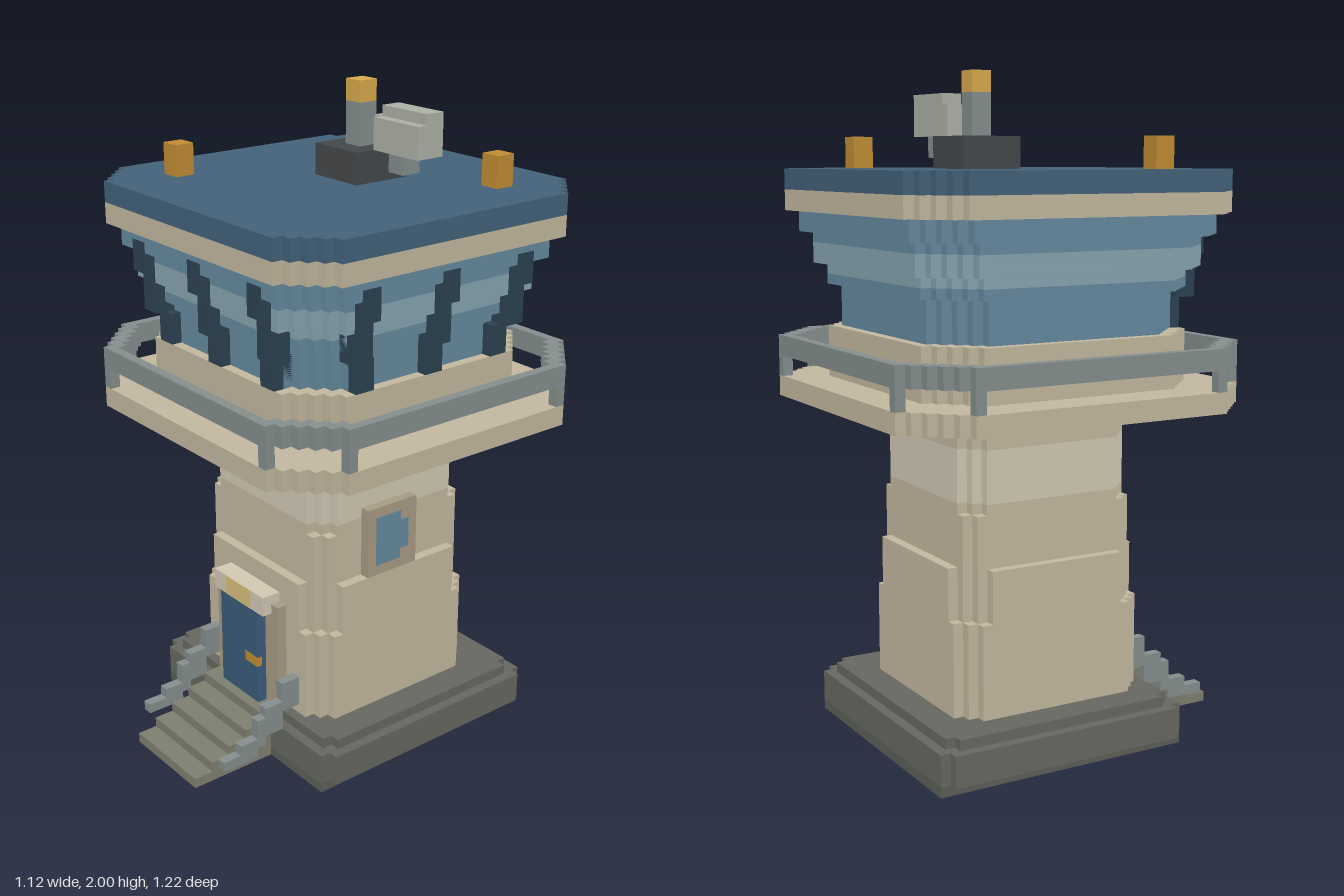
import * as THREE from 'three';

const U = 1 / 32;   // one block
const CZ = -1.5;    // tower axis in z, in blocks

const mats = {};
const paint = (color) => (mats[color] ??= new THREE.MeshStandardMaterial({ color, flatShading: true }));
const C = {
  beige: 0xc4b9a0, pale: 0xd3c9b4, frame: 0xa89c84, blue: 0x43627a, door: 0x3a5c7a,
  glass: 0x668ba0, glassLight: 0x87a5b0, mullion: 0x2d4252, rail: 0x858e8e, stone: 0x666860,
  stair: 0x7f7f70, dark: 0x45484b, amber: 0xc28d33, yellow: 0xd9ab4c, lamp: 0xdac07a, dish: 0xaeb2a6,
};

// Outline of a rectangle whose corners are cut in c one-block steps
function outline(hx, hz, c) {
  const q = [[hx, hz - c]];
  for (let i = 1; i <= c; i++) q.push([hx - i, hz - c + i - 1], [hx - i, hz - c + i]);
  const mirror = (sx, sz) => q.map(([x, z]) => new THREE.Vector2(x * sx, z * sz));
  return [...mirror(1, 1), ...mirror(-1, 1).reverse(), ...mirror(-1, -1), ...mirror(1, -1).reverse()];
}

export function createModel() {
  const root = new THREE.Group();
  root.name = 'controlTower';
  const model = new THREE.Group();
  model.name = 'blocks';
  model.scale.setScalar(U);
  root.add(model);

  const add = (name, geometry, color) => {
    const mesh = new THREE.Mesh(geometry, paint(color));
    mesh.name = name;
    model.add(mesh);
    return mesh;
  };
  // Box from its limits, in blocks
  const box = (name, color, x0, x1, y0, y1, z0, z1) => {
    const g = new THREE.BoxGeometry(x1 - x0, y1 - y0, z1 - z0);
    add(name, g, color).position.set((x0 + x1) / 2, (y0 + y1) / 2, (z0 + z1) / 2);
  };
  // Storey with stepped corners; an inner outline makes it a ring
  const layer = (name, color, hx, hz, c, y0, y1, z = CZ, inner = null) => {
    const shape = new THREE.Shape(outline(hx, hz, c));
    if (inner) shape.holes.push(new THREE.Path(outline(...inner)));
    const g = new THREE.ExtrudeGeometry(shape, { depth: y1 - y0, bevelEnabled: false });
    g.rotateX(-Math.PI / 2);
    add(name, g, color).position.set(0, y0, z);
  };

  // Plinth
  layer('plinthFoot', 0x5d5f58, 13, 13, 0, 0, 1, -2.5);
  layer('plinth', C.stone, 14, 13, 1, 1, 4, -2.5);
  layer('plinthTop', C.stone, 13, 12, 1, 4, 5, -2.5);

  // Shaft
  layer('lowerShaft', C.beige, 10, 10, 2, 5, 14);
  layer('lowerShaftTop', C.beige, 10, 10, 3, 14, 19);
  layer('middleShaft', C.beige, 9, 9, 1, 19, 24);
  layer('upperShaft', C.beige, 9, 9, 2, 24, 25);
  layer('shaftBand', C.pale, 9, 9, 2, 25, 30);
  layer('shaftNeck', C.beige, 9, 9, 2, 30, 33);

  // Stairs
  for (let i = 0; i < 5; i++) box('stairStep', C.stair, -5, 5, i, i + 1, 8.5, 19.5 - 2 * i);

  // Stair handrails, stepping up towards the wall: z0, z1, bottom, top
  const steps = [[15.5, 17.5, 2, 3], [13.5, 15.5, 2, 4], [12.5, 13.5, 3, 6], [10.5, 12.5, 4, 7], [8.5, 10.5, 6, 9]];
  for (const s of [-6.5, 6.5])
    for (const [z0, z1, y0, y1] of steps) box('handrail', C.rail, s - 0.5, s + 0.5, y0, y1, z0, z1);

  // Doorway
  box('doorFrame', C.frame, -5, 5, 5, 16, 8, 9.5);
  box('door', C.door, -3, 3, 5, 15, 9, 10.5);
  box('doorHandle', C.amber, 1, 3, 9, 10, 10, 10.55);
  box('lintel', C.pale, -4, 4, 15, 17, 8, 10.5);
  box('doorLamp', C.lamp, -2, 2, 15.02, 16.98, 10, 10.55);

  // Side window
  box('windowFrame', C.frame, 8.5, 10, 19, 26, -3.5, 2.5);
  box('windowPane', C.glass, 9.5, 10.05, 20, 25, -1.5, 1.5);
  box('windowPaneEdge', C.glass, 9.5, 10.05, 21, 24, -2.5, -1.5);

  // Balcony with railing
  layer('balconyFloor', C.beige, 18, 18, 5, 33, 35);
  layer('balconyRail', C.rail, 18, 18, 5, 37, 39, CZ, [17, 17, 5]);
  for (const a of [-1, 1])
    for (const b of [-1, 1])
      for (const [x, z] of [[12.5, 17.5], [17.5, 12.5]])
        box('railPost', C.rail, a * x - 0.5, a * x + 0.5, 35, 37, CZ + b * z - 0.5, CZ + b * z + 0.5);

  // Cabin wall and outward-leaning glazing: half width, bottom, top
  layer('cabinWall', C.beige, 14, 14, 4, 35, 40);
  const panes = [[13, 40, 44, C.glass], [14, 44, 45, C.glass], [14, 45, 46, C.glassLight],
    [15, 46, 48, C.glassLight], [15, 48, 49, C.glass], [16, 49, 51, C.glass]];
  for (const [r, y0, y1, color] of panes) layer('cabinGlass', color, r, r, 4, y0, y1);

  // Mullions on the front and left sides
  for (const [r, y0, y1, off] of [[14, 40, 43, 8], [15, 43, 47, 9], [16, 47, 50, 9]]) {
    for (const m of [-off, 0, off]) {
      box('frontMullion', C.mullion, m - 1, m + 1, y0, y1, CZ + r - 2, CZ + r + 0.04);
      box('sideMullion', C.mullion, r - 2, r + 0.04, y0, y1, CZ + m - 1, CZ + m + 1);
    }
  }

  // Roof
  layer('roofTrim', C.beige, 17, 17, 4, 51, 53);
  layer('roof', C.blue, 17, 17, 4, 53, 55);
  box('roofLight', C.amber, -12, -10, 55, 58, 7.5, 9.5);
  box('roofLight', C.amber, 10, 12, 55, 58, -12.5, -10.5);

  // Mast and radar
  box('mastBase', C.dark, -3, 3, 55, 58, -7.5, -1.5);
  box('mast', C.rail, -1, 1, 58, 62, -5.5, -3.5);
  box('beacon', C.yellow, -1, 1, 62, 64, -5.5, -3.5);
  box('radarSupport', C.rail, 4, 6, 56, 58, -6.5, -4.5);
  box('radarPanel', C.dish, 3, 9, 58, 62, -6.5, -4.5);
  box('radarFace', C.dish, 3, 9, 58, 61, -4.5, -3.5);
  box('radarEnd', C.dish, 2, 3, 58, 61, -6.5, -4.5);

  return root;
}
